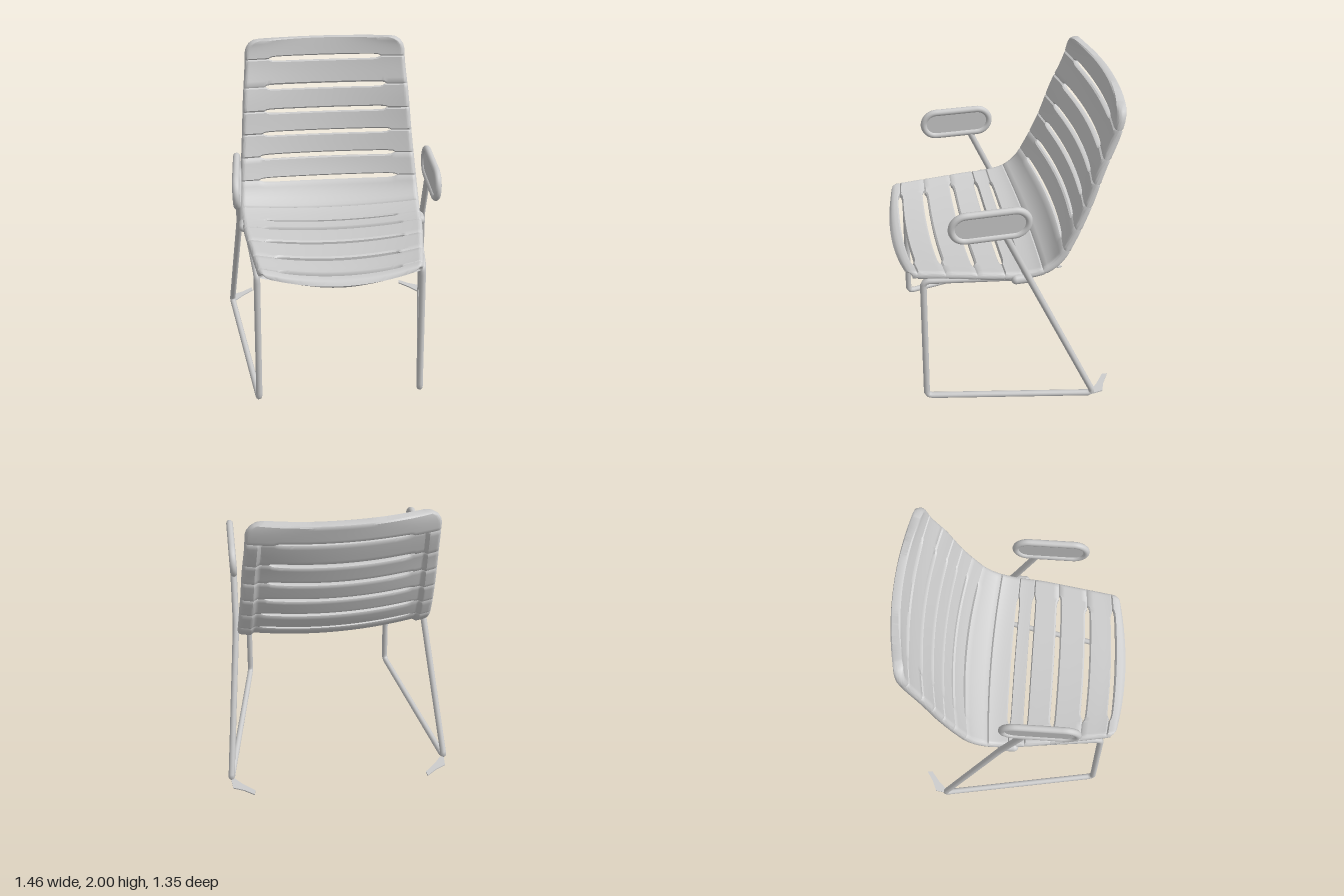
import * as THREE from 'three';
import { toCreasedNormals } from 'three/addons/utils/BufferGeometryUtils.js';

// Stations from front lip to top of back: edge z, edge y, centre z, centre y, half width
const STATIONS = [
  [0.62, 1.0, 0.67, 0.96, 0.46], [0.6, 1.035, 0.64, 0.988, 0.47], [0.5, 1.035, 0.53, 0.99, 0.49],
  [0.3, 1.025, 0.32, 0.98, 0.525], [0.1, 1.015, 0.1, 0.97, 0.56], [-0.05, 1.01, -0.06, 0.965, 0.575],
  [-0.17, 1.03, -0.2, 0.985, 0.585], [-0.25, 1.09, -0.3, 1.06, 0.585], [-0.31, 1.2, -0.375, 1.18, 0.575],
  [-0.4, 1.42, -0.46, 1.4, 0.555], [-0.47, 1.65, -0.535, 1.63, 0.535], [-0.545, 1.85, -0.598, 1.835, 0.515],
  [-0.575, 1.995, -0.635, 1.998, 0.505],
];
const LAST = STATIONS.length - 1;
const edge = new THREE.CatmullRomCurve3(STATIONS.map((s) => new THREE.Vector3(s[4], s[1], s[0])));
const centre = new THREE.CatmullRomCurve3(STATIONS.map((s) => new THREE.Vector3(0, s[3], s[2])));

// Half width, with rounded corners at the lip and the top
function halfWidth(t, w) {
  const k = t * LAST;
  const front = k < 1 ? 0.04 * k : 0.04 + 0.1 * (k - 1);
  const round = (d, r) => (d < r ? r - Math.sqrt(Math.max(0, r * r - (r - d) ** 2)) : 0);
  return w - round(front, 0.05) - round((LAST - k) * 0.15, 0.08);
}

function surface(t, u) {
  t = Math.min(1, Math.max(0, t));
  const e = edge.getPoint(t);
  const c = centre.getPoint(t);
  const f = 1 - u * u;
  return new THREE.Vector3(u * halfWidth(t, e.x), e.y + (c.y - e.y) * f, e.z + (c.z - e.z) * f);
}

function surfaceNormal(t, u) {
  const a = Math.min(0.985, Math.max(0.015, t));
  const dt = surface(a + 0.005, u).sub(surface(a - 0.005, u));
  const b = Math.min(0.98, Math.max(-0.98, u));
  const du = surface(a, b + 0.01).sub(surface(a, b - 0.01));
  return du.cross(dt).normalize();
}

// Curve parameter where the centre line reaches a given z (seat) or y (back)
function findT(axis, value) {
  let lo = axis === 'z' ? 0 : 0.5;
  let hi = 1;
  for (let i = 0; i < 30; i++) {
    const mid = (lo + hi) / 2;
    const v = centre.getPoint(mid)[axis];
    if (axis === 'z' ? v > value : v < value) lo = mid;
    else hi = mid;
  }
  return lo;
}

// Slots: axis, position, half length, half opening
const SLOTS = [
  ['z', 0.585, 0.365, 0.014], ['z', 0.415, 0.38, 0.016], ['z', 0.22, 0.44, 0.015], ['z', 0.045, 0.445, 0.014],
  ['z', -0.06, 0.435, 0.011], ['z', -0.2, 0, 0],
  ['y', 1.125, 0.455, 0.014], ['y', 1.265, 0.445, 0.014], ['y', 1.405, 0.42, 0.013],
  ['y', 1.545, 0.4, 0.013], ['y', 1.695, 0.39, 0.015], ['y', 1.868, 0.36, 0.015],
].map(([axis, pos, length, open]) => {
  const t = findT(axis, pos);
  const speed = surface(t + 0.005, 0).distanceTo(surface(t - 0.005, 0)) / 0.01;
  return { t, length, open: open / speed };
});

// How far a slat edge is pulled back from the slot's middle line
function pullBack(slot, x) {
  const q = Math.abs(x) / (slot.length || 1);
  return slot.length && q < 1 ? slot.open * Math.sqrt(1 - q ** 16) : 0;
}

// One full-width slat, thicker at its outer rim, as a loop of cross-sections
function slatGeometry(from, to) {
  const columns = 96;
  const steps = [0, 0.06, 0.2, 0.4, 0.6, 0.8, 0.94, 1];
  const ring = steps.length * 2;
  const pos = [];
  const index = [];
  for (let i = 0; i <= columns; i++) {
    const u = Math.sin((i / columns - 0.5) * Math.PI);
    const x = u * edge.getPoint(((from ? from.t : 0) + (to ? to.t : 1)) / 2).x;
    const t0 = from ? from.t + pullBack(from, x) : 0;
    const t1 = to ? to.t - pullBack(to, x) : 1;
    const rim = from && to ? THREE.MathUtils.smoothstep(Math.abs(u), 0.83, 0.87) : 1;
    const thick = 0.035 + 0.018 * rim;
    const k = Math.min(1, ((1 - Math.abs(u)) * 0.55) / 0.025);
    const roundness = Math.sqrt(1 - (1 - k) ** 2);
    for (let j = 0; j < ring; j++) {
      const top = j < steps.length;
      const n = top ? j : ring - 1 - j;
      const t = t0 + (t1 - t0) * steps[n];
      const dip = n === 0 || n === steps.length - 1 ? 0.009 : 0;
      const depth = thick / 2 + (top ? dip - thick / 2 : thick / 2 - dip * 0.6) * roundness;
      const p = surface(t, u).addScaledVector(surfaceNormal(t, u), -depth);
      pos.push(p.x, p.y, p.z);
    }
  }
  for (let i = 0; i < columns; i++) {
    for (let j = 0; j < ring; j++) {
      const a = i * ring + j;
      const d = i * ring + ((j + 1) % ring);
      index.push(a, a + ring, d + ring, a, d + ring, d);
    }
  }
  const g = new THREE.BufferGeometry();
  g.setAttribute('position', new THREE.Float32BufferAttribute(pos, 3));
  g.setIndex(index);
  return toCreasedNormals(g, 0.7);
}

// Straight runs joined by rounded bends
function bentPath(points, bend) {
  const v = points.map((p) => new THREE.Vector3(...p));
  const path = new THREE.CurvePath();
  let last = v[0];
  for (let i = 1; i < v.length - 1; i++) {
    const a = v[i].clone().add(v[i - 1].clone().sub(v[i]).setLength(bend));
    const b = v[i].clone().add(v[i + 1].clone().sub(v[i]).setLength(bend));
    path.add(new THREE.LineCurve3(last, a));
    path.add(new THREE.QuadraticBezierCurve3(a, v[i], b));
    last = b;
  }
  path.add(new THREE.LineCurve3(last, v[v.length - 1]));
  return path;
}

function stadium(halfLength, r) {
  const s = new THREE.Shape();
  const c = halfLength - r;
  s.absarc(c, 0, r, -Math.PI / 2, Math.PI / 2, false);
  s.absarc(-c, 0, r, Math.PI / 2, Math.PI * 1.5, false);
  s.closePath();
  return s;
}

export function createModel() {
  const model = new THREE.Group();
  const grey = new THREE.MeshStandardMaterial({ color: 0xcccccc });
  grey.name = 'light grey';
  const add = (parent, name, geometry) => {
    const m = new THREE.Mesh(geometry, grey);
    m.name = name;
    parent.add(m);
    return m;
  };

  // Slatted seat and back
  const shell = new THREE.Group();
  shell.name = 'slattedShell';
  model.add(shell);
  for (let i = 0; i <= SLOTS.length; i++) {
    add(shell, i < 6 ? 'seatSlat' : 'backSlat', slatGeometry(SLOTS[i - 1], SLOTS[i]));
  }

  for (const side of [1, -1]) {
    const frame = new THREE.Group();
    frame.name = side > 0 ? 'leftFrame' : 'rightFrame';
    model.add(frame);

    // Continuous rod: arm post, rear leg, floor bar, front leg, seat rail
    const rod = bentPath([
      [0.585, 1.3, 0.05], [0.598, 0.97, -0.092], [0.713, 0.021, -0.515],
      [0.52, 0.021, 0.555], [0.49, 0.975, 0.525], [0.555, 0.962, -0.05],
    ].map(([x, y, z]) => [x * side, y, z]), 0.04);
    add(frame, 'legRod', new THREE.TubeGeometry(rod, 160, 0.02, 12));

    // Bracket joining the rear leg to the seat
    const bracket = add(frame, 'seatBracket', new THREE.CapsuleGeometry(0.03, 0.07, 6, 14));
    bracket.position.set(0.572 * side, 0.965, -0.05);
    bracket.rotation.x = Math.PI / 2;

    // Arm pad: rounded rim around a thin panel
    const pad = new THREE.Group();
    pad.name = 'armPad';
    pad.position.set(0.585 * side, 1.392, 0.14);
    pad.rotation.y = Math.PI / 2;
    frame.add(pad);
    const outline = stadium(0.219, 0.084).getSpacedPoints(64).slice(0, -1);
    const loop = new THREE.CatmullRomCurve3(outline.map((p) => new THREE.Vector3(p.x, p.y, 0)), true);
    add(pad, 'armPadRim', new THREE.TubeGeometry(loop, 96, 0.021, 12, true));
    const panel = new THREE.ExtrudeGeometry(stadium(0.219, 0.084), { depth: 0.016, bevelEnabled: false, curveSegments: 16 });
    add(pad, 'armPadPanel', panel.translate(0, 0, -0.008));

    // Flat fin on the floor behind the rear foot
    const fin = new THREE.Shape([
      [0.715, -0.51], [0.69, -0.505], [0.64, -0.56], [0.565, -0.622], [0.57, -0.655], [0.64, -0.608], [0.705, -0.58],
    ].map(([x, z]) => new THREE.Vector2(x * side, -z)));
    const foot = add(frame, 'footFin', new THREE.ExtrudeGeometry(fin, { depth: 0.009, bevelEnabled: false }));
    foot.rotation.x = -Math.PI / 2;
    foot.position.y = 0.008;
  }
  return model;
}
